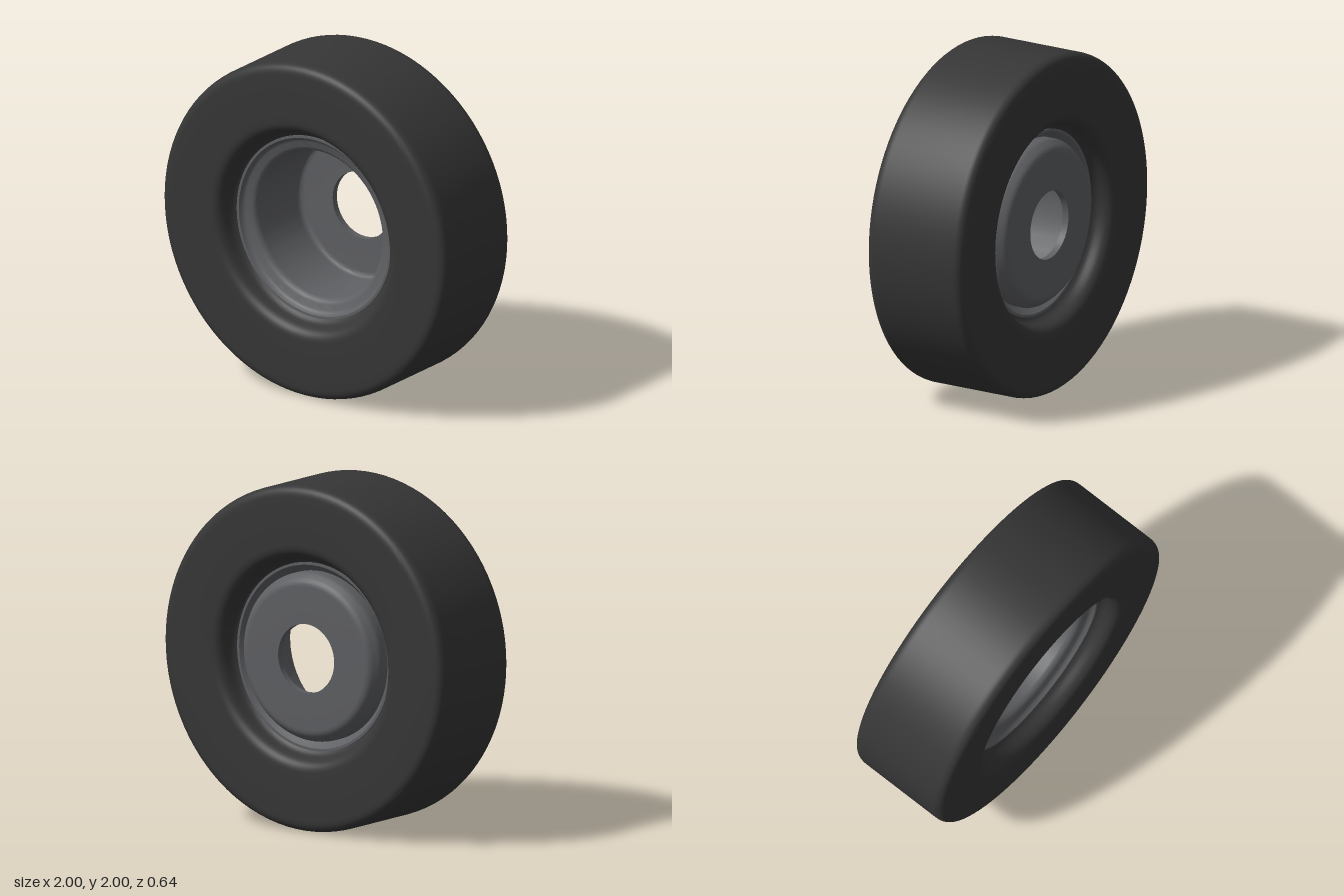
import * as THREE from 'three';
import { toCreasedNormals } from 'three/addons/utils/BufferGeometryUtils.js';

const HALF_WIDTH = 0.322;

// Closed profile of [radius, z, rounding] corners; rounding is how far the curve starts from the corner
function roundedProfile(corners) {
  const n = corners.length;
  const points = [];
  corners.forEach(([r, z, round], i) => {
    const corner = new THREE.Vector2(r, z);
    if (!round) {
      points.push(corner);
      return;
    }
    const toward = ([a, b]) => {
      const d = new THREE.Vector2(a, b).sub(corner);
      return corner.clone().addScaledVector(d.normalize(), round);
    };
    const start = toward(corners[(i + n - 1) % n]);
    const end = toward(corners[(i + 1) % n]);
    points.push(...new THREE.QuadraticBezierCurve(start, corner, end).getPoints(8));
  });
  points.push(points[0].clone());
  return points;
}

// Spins a profile around the z axis
function ring(name, corners, color) {
  const lathe = new THREE.LatheGeometry(roundedProfile(corners), 96);
  lathe.rotateX(Math.PI / 2);
  const mesh = new THREE.Mesh(
    toCreasedNormals(lathe, 0.5),
    new THREE.MeshStandardMaterial({ color })
  );
  mesh.name = name;
  return mesh;
}

export function createModel() {
  const wheel = new THREE.Group();
  wheel.name = 'wheel';

  // Tyre: rounded shoulders, soft lip sinking to the rim on both sides
  const tyre = ring('tyre', [
    [0.54, -0.2],
    [0.57, -0.22, 0.025],
    [0.6, -HALF_WIDTH, 0.06],
    [1, -HALF_WIDTH, 0.065],
    [1, HALF_WIDTH, 0.065],
    [0.6, HALF_WIDTH, 0.06],
    [0.57, 0.22, 0.025],
    [0.54, 0.2],
  ], 0x363636);

  // Rim: front lip, deep barrel, and a bored disc that bulges at the back
  const rim = ring('rim', [
    [0.545, -0.212],
    [0.545, 0.212],
    [0.53, 0.212],
    [0.515, 0.188, 0.015],
    [0.44, 0.165, 0.035],
    [0.435, -0.24, 0.04],
    [0.2, -0.24],
    [0.2, -0.28],
    [0.445, -0.28, 0.03],
    [0.49, -0.22, 0.02],
    [0.49, -0.16],
    [0.51, -0.185, 0.012],
    [0.53, -0.212],
  ], 0x5e5f62);

  wheel.add(tyre, rim);
  wheel.children.forEach((part) => { part.position.y = 1; });
  return wheel;
}
